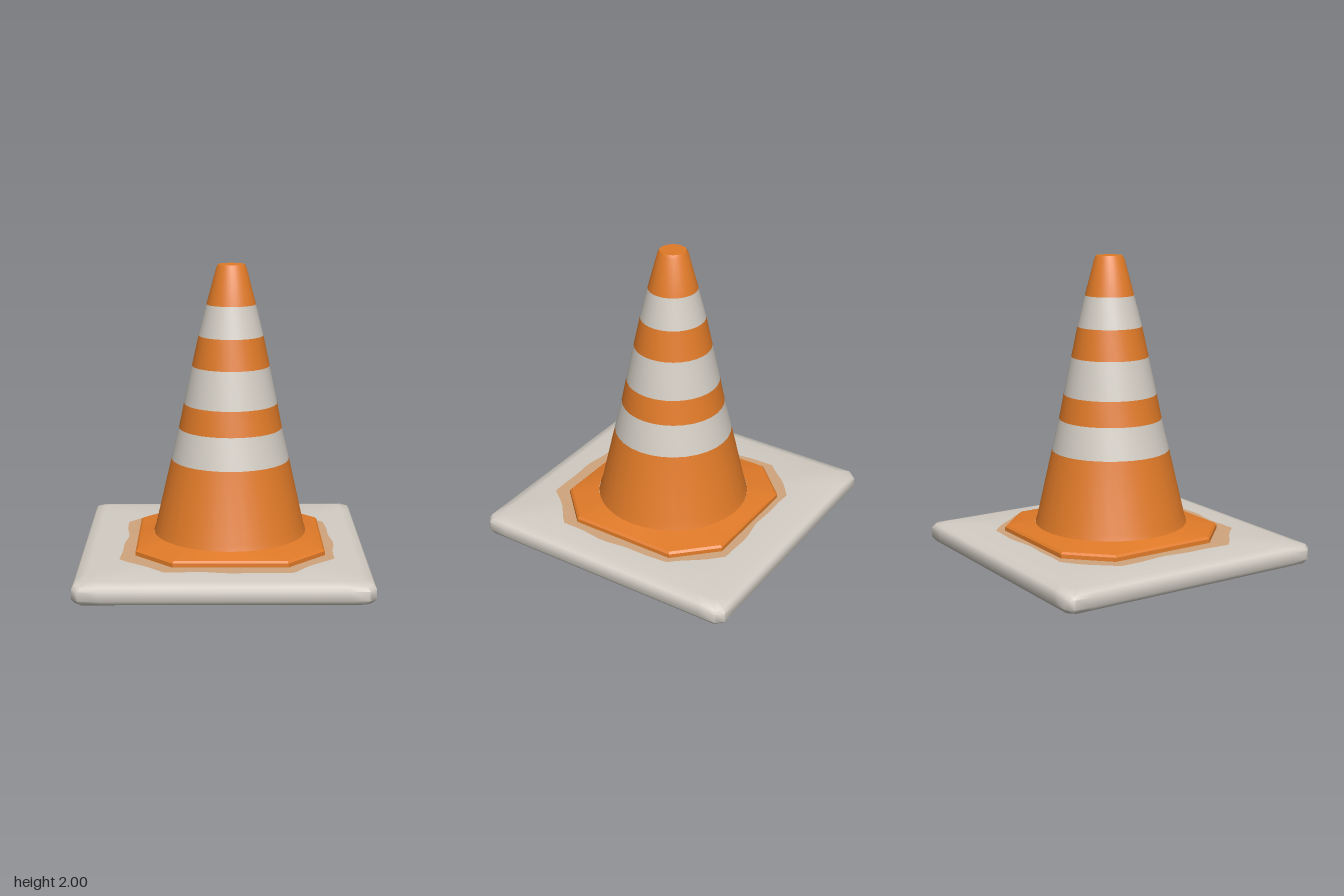
import * as THREE from 'three';
import { toCreasedNormals } from 'three/addons/utils/BufferGeometryUtils.js';

const TAU = Math.PI * 2;
const orange = new THREE.MeshStandardMaterial({ color: 0xe07a28 });
orange.name = 'orange rubber';
const white = new THREE.MeshStandardMaterial({ color: 0xd3cdc4 });
white.name = 'off white';
const stain = new THREE.MeshStandardMaterial({ color: 0xd0a67e });
stain.name = 'pale orange stain';

// Evenly spaced angles, plus the exact corners of a square with cut corners
function angles(count, half, cut) {
  const list = Array.from({ length: count }, (_, i) => (i / count) * TAU);
  if (half) {
    const a = Math.atan((cut - half) / half);
    for (let q = 0; q < 4; q++) {
      list.push((q * TAU) / 4 + a, ((q + 1) * TAU) / 4 - a);
    }
  }
  return list.sort((a, b) => a - b);
}

// Cross-sections: radius as a function of angle, height and centre
const circle = (r, y, cx, cz) => ({ radius: () => r, y, cx, cz });
const cutSquare = (half, cut, y, cx, cz) => ({
  radius: (a) => {
    const c = Math.abs(Math.cos(a)), s = Math.abs(Math.sin(a));
    return Math.min(half / Math.max(c, s), cut / (c + s));
  },
  y, cx, cz,
});

// Skin a series of cross-sections; rising rings face outward
function loft(name, rings, list, material, crease = 0.6) {
  const pos = [], index = [], n = list.length;
  for (const r of rings) {
    for (const a of list) {
      const d = r.radius(a);
      pos.push(r.cx + d * Math.cos(a), r.y, r.cz + d * Math.sin(a));
    }
  }
  for (let k = 0; k < rings.length - 1; k++) {
    for (let i = 0; i < n; i++) {
      const j = (i + 1) % n;
      const a0 = k * n + i, a1 = k * n + j, b0 = a0 + n, b1 = a1 + n;
      if (rings[k].radius(0) > 0) index.push(a0, b1, a1);
      if (rings[k + 1].radius(0) > 0) index.push(a0, b0, b1);
    }
  }
  const geo = new THREE.BufferGeometry();
  geo.setAttribute('position', new THREE.Float32BufferAttribute(pos, 3));
  geo.setIndex(index);
  const mesh = new THREE.Mesh(toCreasedNormals(geo, crease), material);
  mesh.name = name;
  return mesh;
}

const CX = 0.043, CZ = -0.01;
// The cone leans very slightly as it rises
const cone = (r, y) => circle(r, y, CX + 0.005 * y, CZ - 0.003 * y);

export function createModel() {
  const group = new THREE.Group();
  group.name = 'trafficCone';

  // Square base with soft edges and a round opening underneath
  const sq = (half, y) => cutSquare(half, half * 2 - 0.045, y, 0, -0.005);
  group.add(loft('base', [
    circle(0.54, 0.03, CX, CZ),
    circle(0.56, 0.004, CX, CZ),
    sq(0.87, 0),
    sq(0.918, 0.01),
    sq(0.937, 0.038),
    sq(0.937, 0.1),
    sq(0.922, 0.124),
    sq(0.86, 0.139),
    circle(0.62, 0.144, CX, CZ),
    circle(0.5, 0.144, CX, CZ),
  ], angles(64, 0.937, 1.829), white, 0.8));

  // Uneven coloured halo around the plinth
  const halo = cutSquare(0.688, 1.1, 0.1455, 0.03, 0.015);
  const edge = halo.radius;
  halo.radius = (a) => edge(a) + 0.012 * Math.sin(5 * a + 1) + 0.006 * Math.sin(13 * a);
  group.add(loft('stain', [halo, circle(0.55, 0.147, CX, CZ)],
    angles(72, 0.688, 1.1), stain));

  // Octagonal plinth rising to the foot of the cone
  const oct = (half, cut, y) => cutSquare(half, cut, y, CX, CZ);
  group.add(loft('plinth', [
    oct(0.617, 0.985, 0.135),
    oct(0.615, 0.982, 0.172),
    oct(0.602, 0.962, 0.185),
    cone(0.51, 0.215),
  ], angles(48, 0.615, 0.982), orange, 0.3));

  // Cone in alternating bands
  const round = angles(32);
  const bands = [
    ['lowerCone', orange, [[0.51, 0.213], [0.495, 0.26], [0.392, 0.71]]],
    ['lowerStripe', white, [[0.392, 0.71], [0.342, 0.92]]],
    ['lowerMiddleBand', orange, [[0.342, 0.92], [0.309, 1.085]]],
    ['middleStripe', white, [[0.309, 1.085], [0.256, 1.335]]],
    ['upperMiddleBand', orange, [[0.256, 1.335], [0.213, 1.535]]],
    ['upperStripe', white, [[0.213, 1.535], [0.162, 1.74]]],
    ['tip', orange, [[0.162, 1.74], [0.098, 1.98], [0.086, 2], [0, 2]]],
  ];
  for (const [name, material, profile] of bands) {
    group.add(loft(name, profile.map(([r, y]) => cone(r, y)), round, material));
  }

  // Hollow inside, seen through the opening in the base
  const inside = [[0, 1.96], [0.08, 1.96], [0.15, 1.73], [0.38, 0.71],
    [0.485, 0.24], [0.5, 0.17], [0.545, 0.1], [0.55, 0.012]];
  group.add(loft('innerWall', inside.map(([r, y]) => cone(r, y)), round, orange));

  return group;
}
